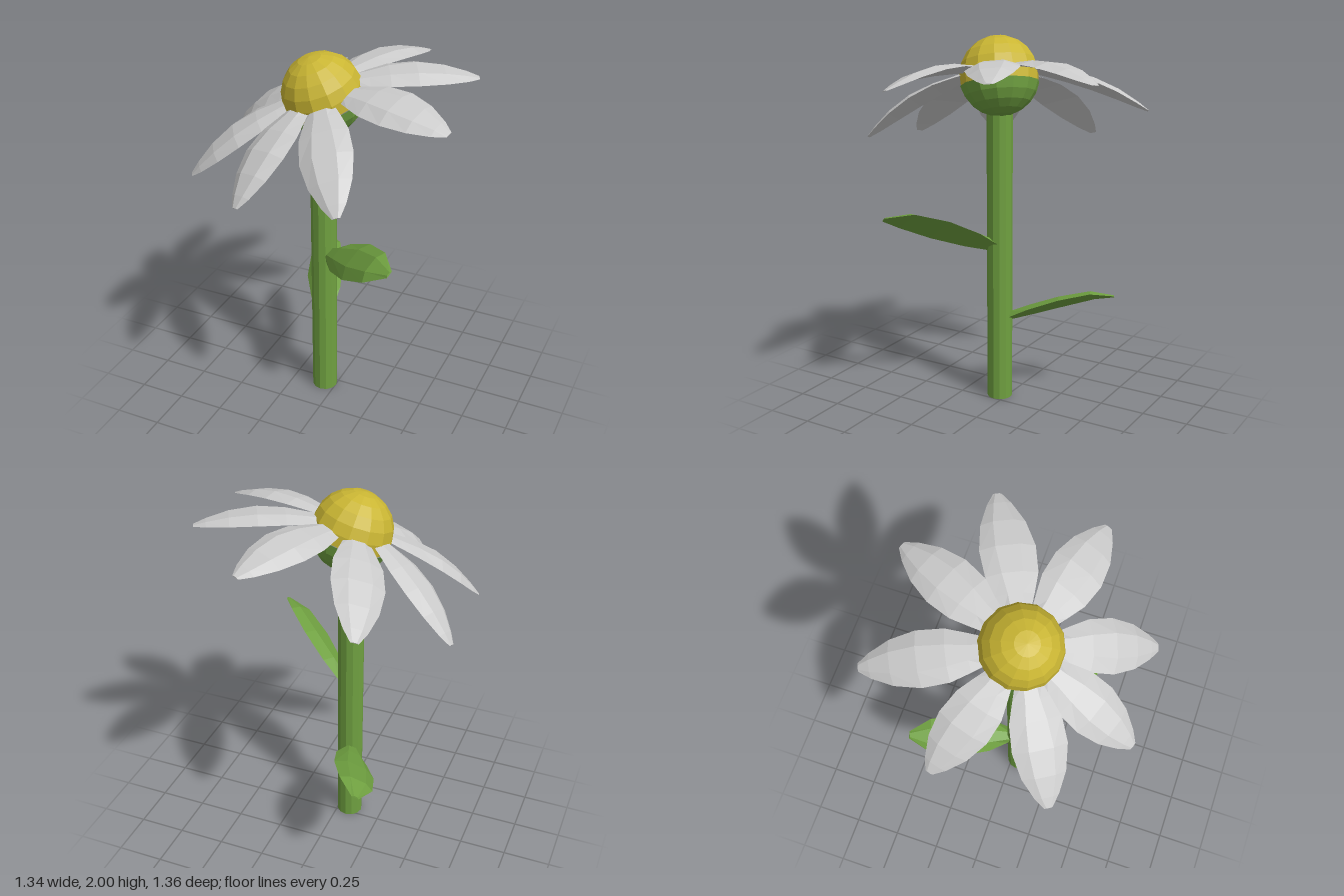
import * as THREE from 'three';

const V = (x, y, z) => new THREE.Vector3(x, y, z);
const material = (color) => new THREE.MeshStandardMaterial({ color, flatShading: true });

// Blade with a flat underside and a raised, bevelled top, rolled about its length.
// Each section: [t along blade, half width, arch, ridge height, ridge half width]
function bladeGeometry(base, tip, upHint, sections, roll = 0) {
  const d = tip.clone().sub(base);
  const axis = d.clone().normalize();
  const side = d.clone().cross(upHint).normalize().applyAxisAngle(axis, roll);
  const up = side.clone().cross(axis);
  const pos = [], idx = [];
  for (const [t, w, arch, h, r] of sections) {
    for (const [s, u] of [[-w, arch], [-r, arch + h], [r, arch + h], [w, arch]]) {
      const p = base.clone().addScaledVector(d, t).addScaledVector(side, s).addScaledVector(up, u);
      pos.push(p.x, p.y, p.z);
    }
  }
  const n = sections.length;
  for (let i = 0; i < n - 1; i++) {
    for (let j = 0; j < 4; j++) {
      const a = i * 4 + j, b = i * 4 + (j + 1) % 4;
      idx.push(a, b, b + 4, a, b + 4, a + 4);
    }
  }
  const e = (n - 1) * 4;
  idx.push(0, 2, 1, 0, 3, 2, e, e + 1, e + 2, e, e + 2, e + 3);
  const g = new THREE.BufferGeometry();
  g.setAttribute('position', new THREE.Float32BufferAttribute(pos, 3));
  g.setIndex(idx);
  g.computeVertexNormals();
  return g;
}

export function createModel() {
  const group = new THREE.Group();
  const green = material(0x6fa040), yellow = material(0xcab633), grey = material(0xcccccc);
  const add = (name, geometry, mat) => {
    const mesh = new THREE.Mesh(geometry, mat);
    mesh.name = name;
    group.add(mesh);
    return mesh;
  };

  // Stem
  add('stem', new THREE.CylinderGeometry(0.069, 0.069, 1.68, 12), green).position.set(-0.065, 0.84, 0.042);

  // Tilted flower head: yellow dome reaching just past the middle, green cup below
  const centre = V(-0.065, 1.795, 0.045);
  const axis = V(-0.25, 0.94, 0.23).normalize();
  const tilt = new THREE.Quaternion().setFromUnitVectors(V(0, 1, 0), axis);
  const rim = Math.PI * 0.57;
  const dome = add('flowerCentre', new THREE.SphereGeometry(0.207, 14, 6, 0, Math.PI * 2, 0, rim), yellow);
  const cup = add('calyx', new THREE.SphereGeometry(0.212, 14, 5, 0, Math.PI * 2, rim, Math.PI - rim), green);
  for (const m of [dome, cup]) {
    m.position.copy(centre);
    m.quaternion.copy(tilt);
  }

  // Petals fan out from the rim of the dome and droop to their tips
  const petalSections = [
    [0, 0.065, 0, 0.02, 0.03],
    [0.12, 0.092, 0.012, 0.022, 0.035],
    [0.28, 0.125, 0.025, 0.028, 0.05],
    [0.5, 0.134, 0.03, 0.033, 0.06],
    [0.72, 0.108, 0.022, 0.028, 0.05],
    [0.9, 0.06, 0.008, 0.016, 0.028],
    [1, 0.02, 0, 0.004, 0.01],
  ];
  const tips = [
    [0.62, 1.86, -0.31], [0.66, 1.79, 0.24], [0.28, 1.47, 0.64], [-0.23, 1.42, 0.67],
    [-0.64, 1.38, 0.38], [-0.67, 1.42, -0.21], [-0.35, 1.63, -0.67], [0.23, 1.83, -0.65],
  ];
  for (const p of tips) {
    const tip = V(...p);
    const out = tip.clone().sub(centre).projectOnPlane(axis).normalize();
    const base = centre.clone().addScaledVector(out, 0.165).addScaledVector(axis, 0.01);
    add('petal', bladeGeometry(base, tip, axis, petalSections), grey);
  }

  // Two stem leaves, rolled in opposite directions so that one edge lifts
  const leafSections = [
    [0, 0.045, -0.02, 0.035, 0.02],
    [0.2, 0.092, -0.005, 0.035, 0.035],
    [0.5, 0.118, 0.012, 0.032, 0.055],
    [0.8, 0.095, 0.02, 0.025, 0.045],
    [1, 0.02, 0, 0.008, 0.01],
  ];
  const up = V(0, 1, 0);
  add('upperLeaf', bladeGeometry(V(-0.03, 0.89, 0.06), V(0.46, 1.09, 0.42), up, leafSections, 0.64), green);
  add('lowerLeaf', bladeGeometry(V(-0.09, 0.48, -0.01), V(-0.31, 0.61, -0.53), up, leafSections, -0.48), green);

  return group;
}
